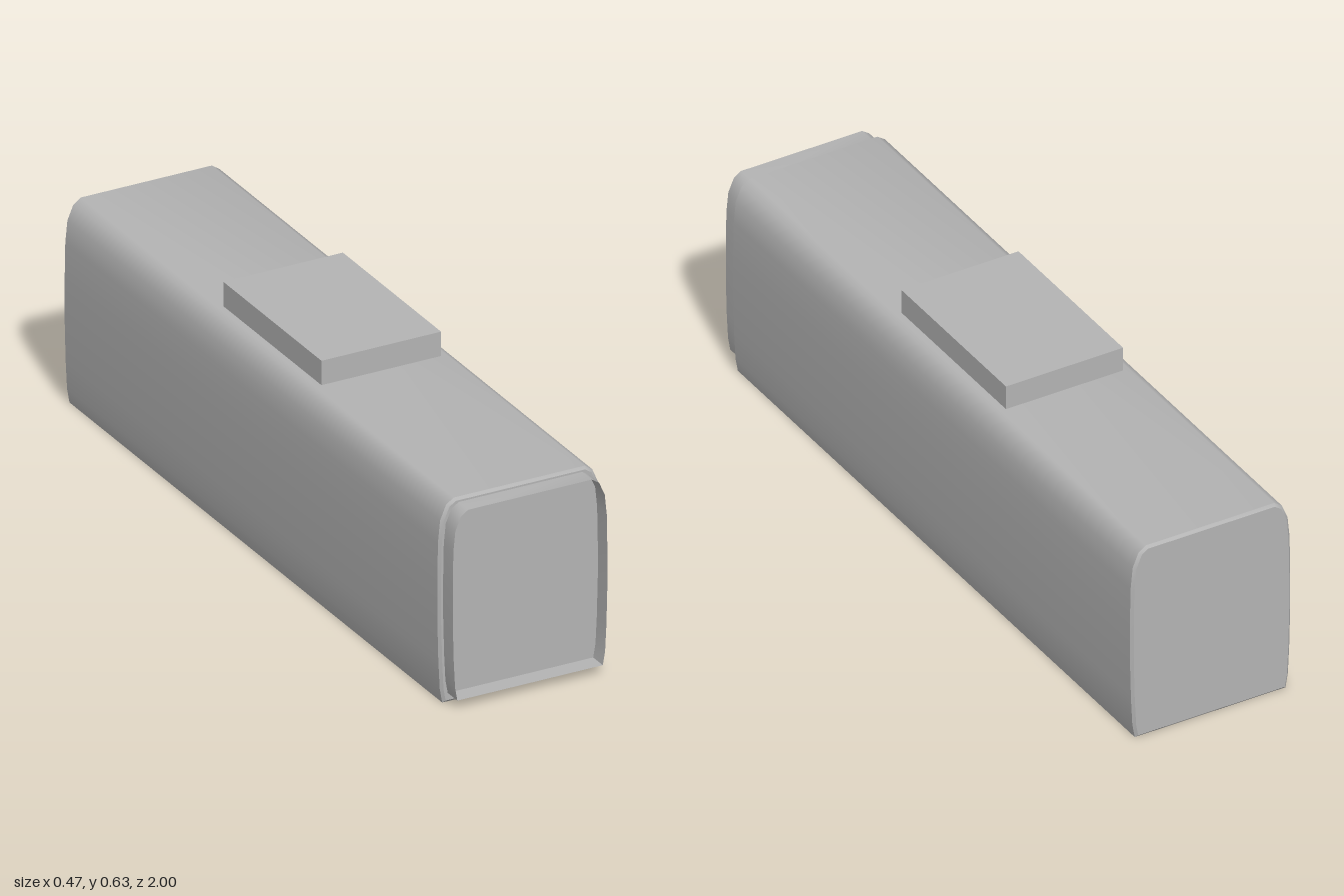
import * as THREE from 'three';
import { toCreasedNormals } from 'three/addons/utils/BufferGeometryUtils.js';

// Half of the cross-section, from the floor up to the roof
const HALF = [[0.22, 0], [0.227, 0.04], [0.231, 0.12], [0.234, 0.24], [0.234, 0.34],
  [0.232, 0.45], [0.226, 0.51], [0.209, 0.55], [0.187, 0.565]];
const PROFILE = [...HALF, ...HALF.map(([x, y]) => [-x, y]).reverse()];

// Closed body with a small chamfer around both ends
function bodyGeometry(zBack, zFront, chamfer) {
  const shape = new THREE.Shape(PROFILE.map(([x, y]) => new THREE.Vector2(x, y)));
  const geometry = new THREE.ExtrudeGeometry(shape, {
    depth: zFront - zBack - 2 * chamfer,
    bevelEnabled: true, bevelSegments: 1,
    bevelSize: chamfer, bevelThickness: chamfer, bevelOffset: -chamfer,
  });
  geometry.translate(0, 0, zBack + chamfer);
  return toCreasedNormals(geometry, 0.68);
}

// Thin open sleeve that follows a slightly smaller cross-section
function sleeveGeometry(zBack, zFront) {
  const ring = PROFILE.map(([x, y]) => [x * 0.945, 0.027 + y * 0.931]);
  const positions = [];
  ring.forEach(([ax, ay], i) => {
    const [bx, by] = ring[(i + 1) % ring.length];
    positions.push(ax, ay, zBack, bx, by, zFront, ax, ay, zFront);
    positions.push(ax, ay, zBack, bx, by, zBack, bx, by, zFront);
  });
  const geometry = new THREE.BufferGeometry();
  geometry.setAttribute('position', new THREE.Float32BufferAttribute(positions, 3));
  return toCreasedNormals(geometry, 0.68);
}

export function createModel() {
  const model = new THREE.Group();
  model.name = 'railCar';
  const grey = new THREE.MeshStandardMaterial({ color: 0xb4b4b4, side: THREE.DoubleSide });
  grey.name = 'grey';

  const add = (name, geometry) => {
    const mesh = new THREE.Mesh(geometry, grey);
    mesh.name = name;
    model.add(mesh);
    return mesh;
  };

  add('body', bodyGeometry(-1, 0.95, 0.007));
  add('gangwaySleeve', sleeveGeometry(0.943, 1));
  add('roofUnit', new THREE.BoxGeometry(0.342, 0.07, 0.51)).position.set(0, 0.598, -0.028);

  return model;
}
